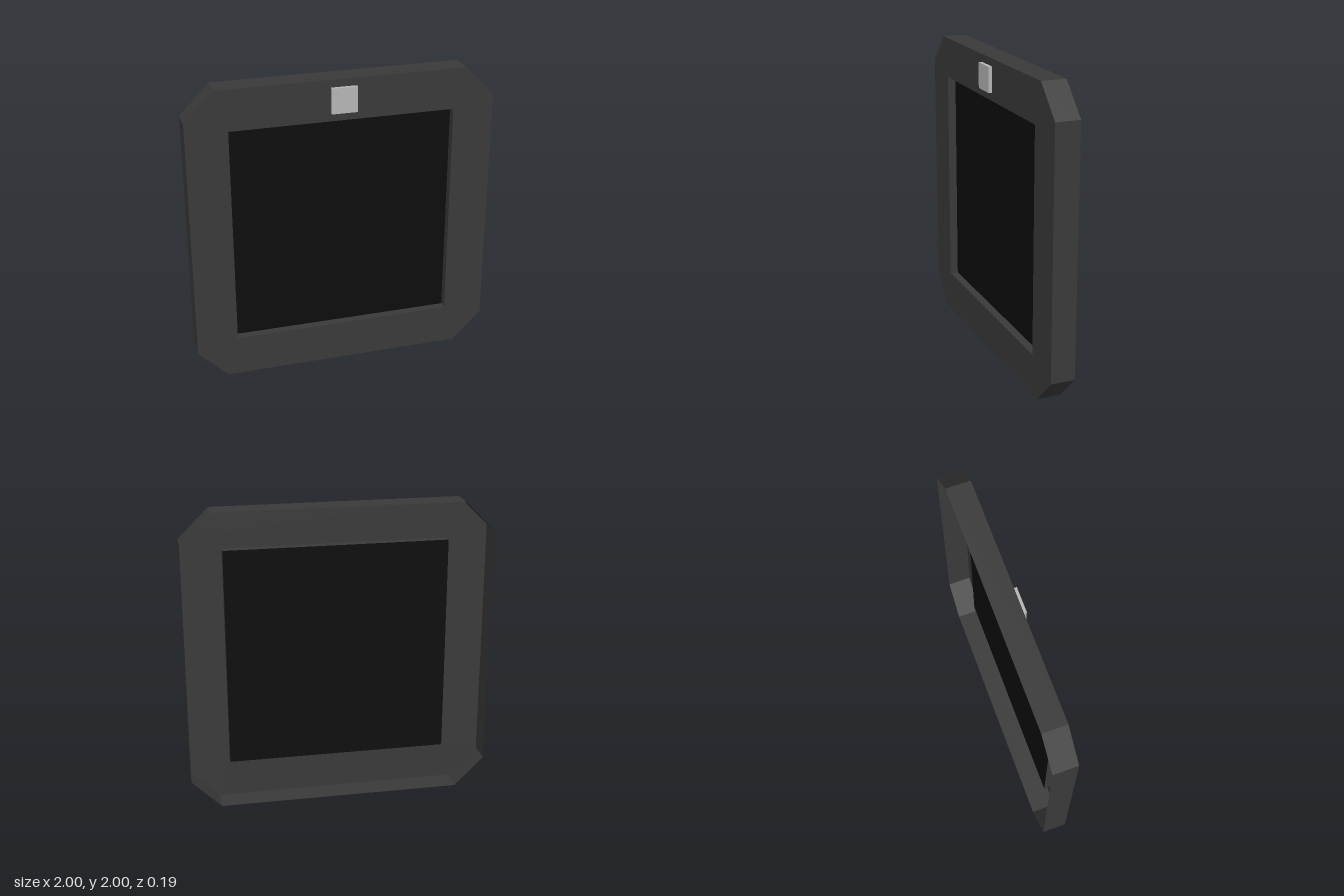
import * as THREE from 'three';

const FRONT = 0.067, BACK = -0.093, SCREEN = 0.012;

const material = (color) => new THREE.MeshStandardMaterial({
  color, side: THREE.DoubleSide, flatShading: true,
});

function addPart(group, name, geometry, mat) {
  const mesh = new THREE.Mesh(geometry, mat);
  mesh.name = name;
  group.add(mesh);
  return mesh;
}

// Band of flat walls along a closed counter-clockwise outline, from z0 (back) to z1 (front)
function wallBand(points, z0, z1) {
  const positions = [];
  points.forEach((a, i) => {
    const b = points[(i + 1) % points.length];
    positions.push(a.x, a.y, z0, b.x, b.y, z0, b.x, b.y, z1);
    positions.push(a.x, a.y, z0, b.x, b.y, z1, a.x, a.y, z1);
  });
  const geometry = new THREE.BufferGeometry();
  geometry.setAttribute('position', new THREE.Float32BufferAttribute(positions, 3));
  geometry.computeVertexNormals();
  return geometry;
}

export function createModel() {
  const group = new THREE.Group();
  group.name = 'framedPanel';
  const frameMat = material(0x3a3a3a);
  const screenMat = material(0x0d0d0d);
  const badgeMat = material(0xb6b6b6);

  // Square outline with cut corners, and the square opening
  const c = 0.805, s = 0.73;
  const outline = [[c, -1], [1, -c], [1, c], [c, 1], [-c, 1], [-1, c], [-1, -c], [-c, -1]]
    .map(([x, y]) => new THREE.Vector2(x, y + 1));
  const opening = [[-s, -s], [s, -s], [s, s], [-s, s]]
    .map(([x, y]) => new THREE.Vector2(x, y + 1));

  // Front plate of the hollow, open-backed frame
  const plate = new THREE.Shape(outline);
  plate.holes.push(new THREE.Path(opening));
  addPart(group, 'frontPlate', new THREE.ShapeGeometry(plate), frameMat).position.z = FRONT;

  // Outer rim and the walls of the screen recess
  addPart(group, 'outerRim', wallBand(outline, BACK, FRONT), frameMat);
  addPart(group, 'recessWalls', wallBand([...opening].reverse(), SCREEN, FRONT), frameMat);

  // Recessed dark screen
  addPart(group, 'screen', new THREE.PlaneGeometry(2 * s, 2 * s), screenMat)
    .position.set(0, 1, SCREEN);

  // Small raised square at the top of the frame
  addPart(group, 'topBadge', new THREE.BoxGeometry(0.166, 0.166, 0.025), badgeMat)
    .position.set(0, 1.867, 0.0805);

  return group;
}
